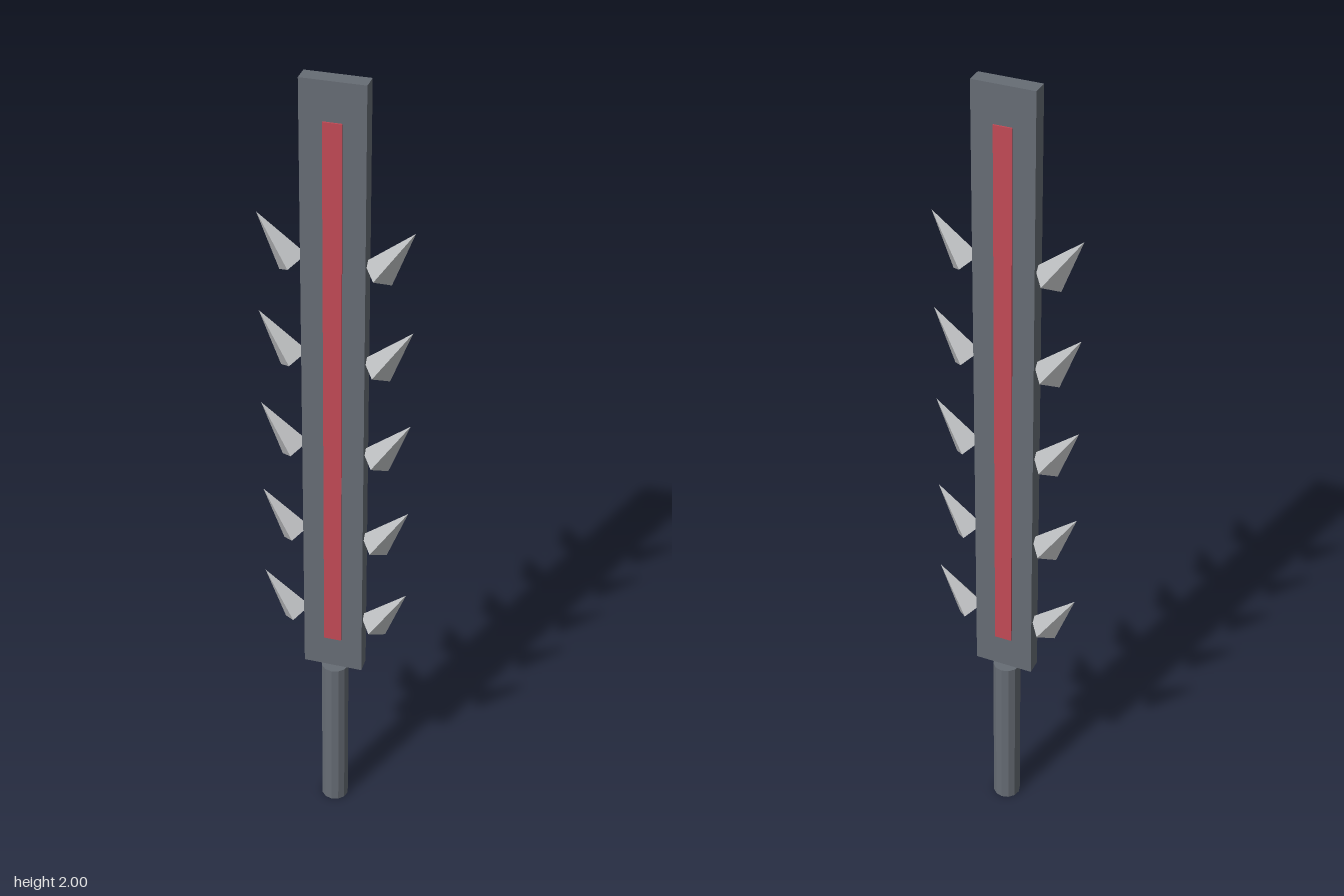
import * as THREE from 'three';

const mat = (name, color) => {
  const m = new THREE.MeshStandardMaterial({ color, flatShading: true });
  m.name = name;
  return m;
};

export function createModel() {
  const group = new THREE.Group();
  const steel = mat('dark steel', 0x676d75);
  const red = mat('red inlay', 0xc24a56);
  const silver = mat('pale metal', 0xb8babc);

  const add = (name, geometry, material, x, y, z) => {
    const mesh = new THREE.Mesh(geometry, material);
    mesh.name = name;
    mesh.position.set(x, y, z);
    group.add(mesh);
    return mesh;
  };

  // Grip, with a small gap below the blade
  add('handle', new THREE.CylinderGeometry(0.034, 0.034, 0.44, 12), steel, 0, 0.22, 0);

  // Flat slab blade
  add('blade', new THREE.BoxGeometry(0.146, 1.55, 0.039), steel, 0, 1.225, 0);

  // Raised strip on each face of the blade
  const strip = new THREE.BoxGeometry(0.043, 1.374, 0.004);
  add('frontStrip', strip, red, 0, 1.223, 0.0213);
  add('backStrip', strip, red, 0, 1.223, -0.0213);

  // Five four-sided teeth on each edge, leaning outward and up
  const tooth = new THREE.ConeGeometry(0.039, 0.136, 4);
  const lean = 0.64;
  for (let i = 0; i < 5; i++) {
    for (const side of [1, -1]) {
      const spike = add(side > 0 ? 'leftTooth' : 'rightTooth', tooth, silver,
        side * 0.136, 0.641 + i * 0.244, 0);
      spike.rotation.z = -side * lean;
    }
  }
  return group;
}
